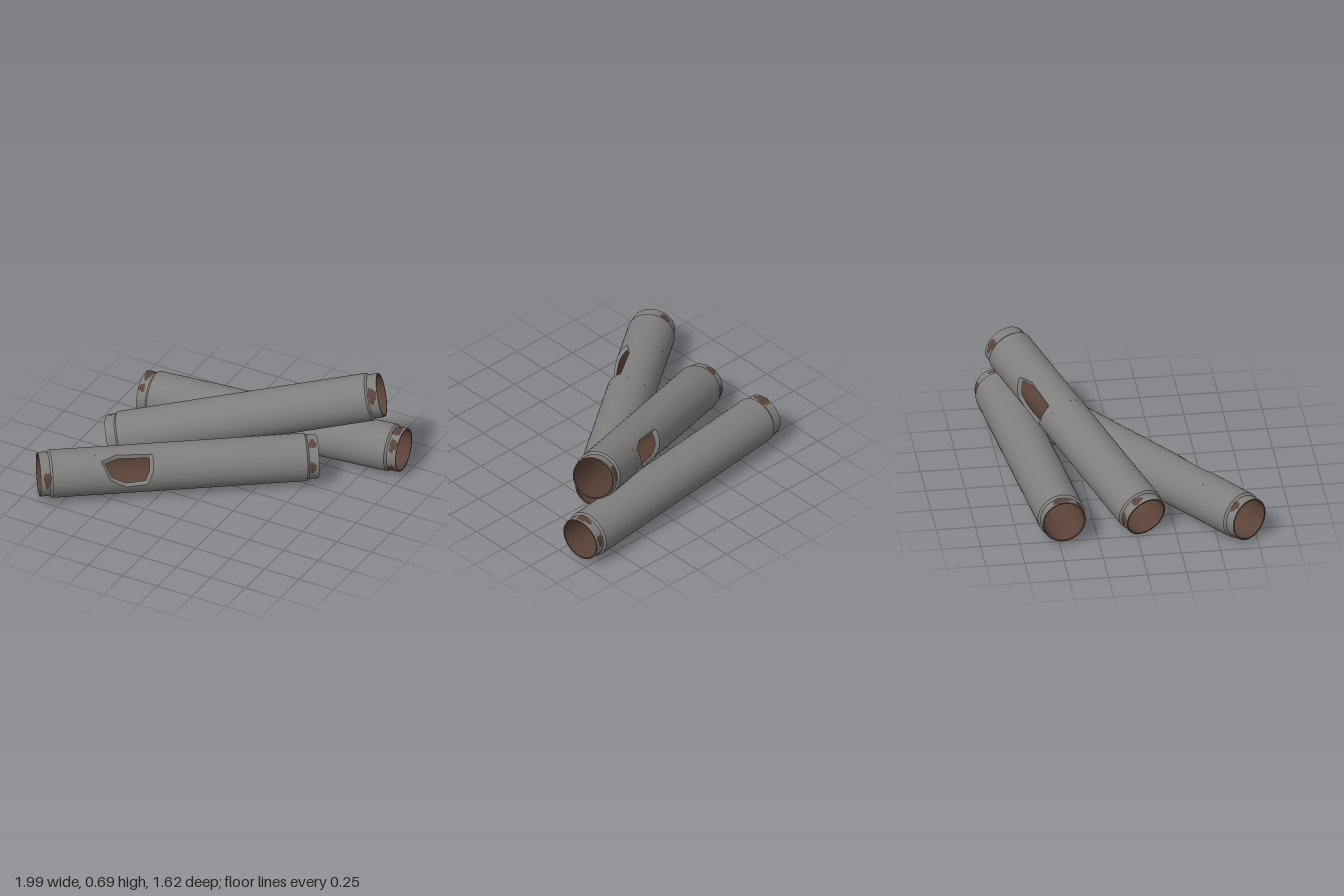
import * as THREE from 'three';

const R = 0.153, COLLAR = 0.14, BORE = 0.131;   // body, collar and inner radii
const HALF = 0.888, NECK = 0.826, BODY = 0.812; // half lengths: tip, collar foot, body edge
const SEG = 48, D = Math.PI / 180;

const grey = new THREE.MeshStandardMaterial({ color: 0x7f7e7c });
grey.name = 'weathered grey';
const rust = new THREE.MeshStandardMaterial({ color: 0x5a4237, side: THREE.DoubleSide });
rust.name = 'rust brown';

// Broken opening: [position along the pipe, angle from the top in degrees]
const HOLE = [[-0.5, 36], [-0.4, 21], [-0.166, 25], [-0.172, 66], [-0.207, 102], [-0.347, 106], [-0.448, 82]];

// Pipe ends, opening (flip, roll) and rust spots: [end, angle, angular half size, half width, inset]
const PIPES = [
  { name: 'frontPipe', from: [-0.915, 0.162, 0.695], to: [0.528, 0.162, -0.343], hole: { flip: 1, roll: 0 },
    spots: [[-1, 75, 24, 0.02, 0.042], [-1, -37, 17, 0.022, 0.04], [-1, 190, 20, 0.02, 0.03],
      [1, 22, 16, 0.022, 0.035], [1, 88, 18, 0.018, 0.04], [1, -100, 18, 0.02, 0.035]] },
  { name: 'backPipe', from: [-0.795, 0.162, -0.47], to: [0.98, 0.162, -0.67],
    spots: [[-1, -5, 28, 0.026, 0.03], [-1, 46, 12, 0.02, 0.025], [-1, -130, 24, 0.022, 0.035],
      [1, 0, 26, 0.024, 0.036], [1, 50, 20, 0.024, 0.03], [1, 128, 26, 0.024, 0.034], [1, -75, 18, 0.022, 0.035]] },
  { name: 'leaningPipe', from: [-0.755, 0.134, 0.06], to: [0.84, 0.555, -0.64], hole: { flip: -1, roll: -20 },
    spots: [[-1, -27, 17, 0.023, 0.035], [-1, -92, 22, 0.022, 0.035], [-1, 100, 18, 0.02, 0.035],
      [1, -65, 24, 0.023, 0.035], [1, 58, 24, 0.024, 0.035], [1, 165, 20, 0.02, 0.03]] },
];

function add(group, name, geometry, material) {
  const mesh = new THREE.Mesh(geometry, material);
  mesh.name = name;
  group.add(mesh);
}

// Open tube section along x, angles measured from the top towards the front
function section(s0, s1, r0, r1 = r0, a0 = 0, a1 = Math.PI * 2) {
  const g = new THREE.CylinderGeometry(r1, r0, s1 - s0, SEG, 1, true, a0 - Math.PI / 2, a1 - a0);
  return g.rotateZ(-Math.PI / 2).translate((s0 + s1) / 2, 0, 0);
}

// Closed loops of [along, angle, radius] joined from the inside outwards
function loops(rings, count, at, wrapped = true) {
  const pos = [], index = [];
  for (let j = 0; j <= rings; j++) for (let k = 0; k < count; k++) {
    const [s, a, r] = at(j / rings, k / count * Math.PI * 2);
    pos.push(s, r * Math.cos(a), r * Math.sin(a));
    if (j === rings) continue;
    const p = j * count + k, q = j * count + (k + 1) % count;
    index.push(p, q, p + count, q, q + count, p + count);
  }
  const g = new THREE.BufferGeometry();
  g.setAttribute('position', new THREE.Float32BufferAttribute(pos, 3));
  g.setIndex(index);
  g.computeVertexNormals();
  if (wrapped) {
    const n = g.attributes.normal;
    for (let i = 0; i < n.count; i++) {
      const y = pos[i * 3 + 1], z = pos[i * 3 + 2], l = Math.hypot(y, z);
      n.setXYZ(i, 0, y / l, z / l);
    }
  }
  return g;
}

// Distance from the centre of an outline to its edge in a given direction
function reach(outline, t) {
  const c = Math.cos(t), s = Math.sin(t);
  let best = 0;
  outline.forEach(([x0, y0], i) => {
    const [x1, y1] = outline[(i + 1) % outline.length];
    const ex = x1 - x0, ey = y1 - y0, den = c * ey - s * ex;
    if (Math.abs(den) < 1e-9) return;
    const d = (x0 * ey - y0 * ex) / den, u = (x0 * s - y0 * c) / den;
    if (d > 0 && u >= -1e-6 && u <= 1 + 1e-6) best = Math.max(best, d);
  });
  return best;
}

// Body wall with a broken opening and its bevelled rim
function brokenBody(group, { flip, roll }) {
  const cs = -0.325 * flip, ca = (63 * flip + roll) * D, hs = 0.21, ha = 52 * D;
  const outline = HOLE.map(([s, a]) => [(s * flip - cs) / hs, ((a * flip + roll) * D - ca) / ha]);
  const point = (d, t, r) => [cs + d * Math.cos(t) * hs, ca + d * Math.sin(t) * ha, r];
  const edge = t => 1 / Math.max(Math.abs(Math.cos(t)), Math.abs(Math.sin(t)));
  const wall = (name, r, end, scale, material) => {
    add(group, name, section(-end, cs - hs, r), material);
    add(group, name, section(cs + hs, end, r), material);
    add(group, name, section(cs - hs, cs + hs, r, r, ca + ha, ca - ha + Math.PI * 2), material);
    add(group, name, loops(6, 96, (f, t) =>
      point(THREE.MathUtils.lerp(reach(outline, t) * scale, edge(t), f), t, r)), material);
  };
  wall('body', R, BODY, 1, grey);
  wall('bore', BORE, HALF, 0.86, rust);
  add(group, 'openingRim', loops(1, 96, (f, t) =>
    point(reach(outline, t) * (0.86 + 0.14 * f), t, BORE + (R - BORE) * f), false), grey);
}

function makePipe({ name, from, to, hole, spots }) {
  const pipe = new THREE.Group();
  pipe.name = name;
  if (hole) brokenBody(pipe, hole);
  else {
    add(pipe, 'body', section(-BODY, BODY, R), grey);
    add(pipe, 'bore', section(-HALF, HALF, BORE), rust);
  }
  // Stepped collars and end lips
  for (const e of [-1, 1]) {
    const span = (a, b, ra, rb) => e > 0 ? section(a, b, ra, rb) : section(-b, -a, rb, ra);
    add(pipe, 'collarStep', span(BODY, NECK, R, COLLAR), grey);
    add(pipe, 'collar', span(NECK, HALF, COLLAR, COLLAR), grey);
    const lip = new THREE.RingGeometry(BORE, COLLAR, SEG, 1).rotateY(e * Math.PI / 2);
    add(pipe, 'lip', lip.translate(e * HALF, 0, 0), rust);
  }
  // Ragged rust spots on the collars
  spots.forEach(([e, angle, size, width, inset], i) => {
    add(pipe, 'rustSpot', loops(4, 28, (f, t) => {
      const d = f * (0.9 + 0.14 * Math.sin(3 * t + i * 2.1) + 0.1 * Math.sin(7 * t + i));
      const s = Math.min(HALF - inset + d * Math.cos(t) * width * 1.2, HALF);
      const r = COLLAR + 0.002 + Math.max(0, NECK - s) * (R - COLLAR) / (NECK - BODY);
      return [e * s, (angle + d * Math.sin(t) * size * e) * D, Math.min(r, R + 0.002)];
    }), rust);
  });
  // Lay the pipe between its two ends
  const a = new THREE.Vector3(...from), b = new THREE.Vector3(...to);
  const axis = b.clone().sub(a).normalize();
  const side = axis.clone().cross(new THREE.Vector3(0, 1, 0)).normalize();
  pipe.quaternion.setFromRotationMatrix(new THREE.Matrix4().makeBasis(axis, side.clone().cross(axis), side));
  pipe.position.copy(a.add(b).multiplyScalar(0.5));
  return pipe;
}

export function createModel() {
  const model = new THREE.Group();
  model.name = 'pipePile';
  PIPES.forEach(p => model.add(makePipe(p)));
  return model;
}
